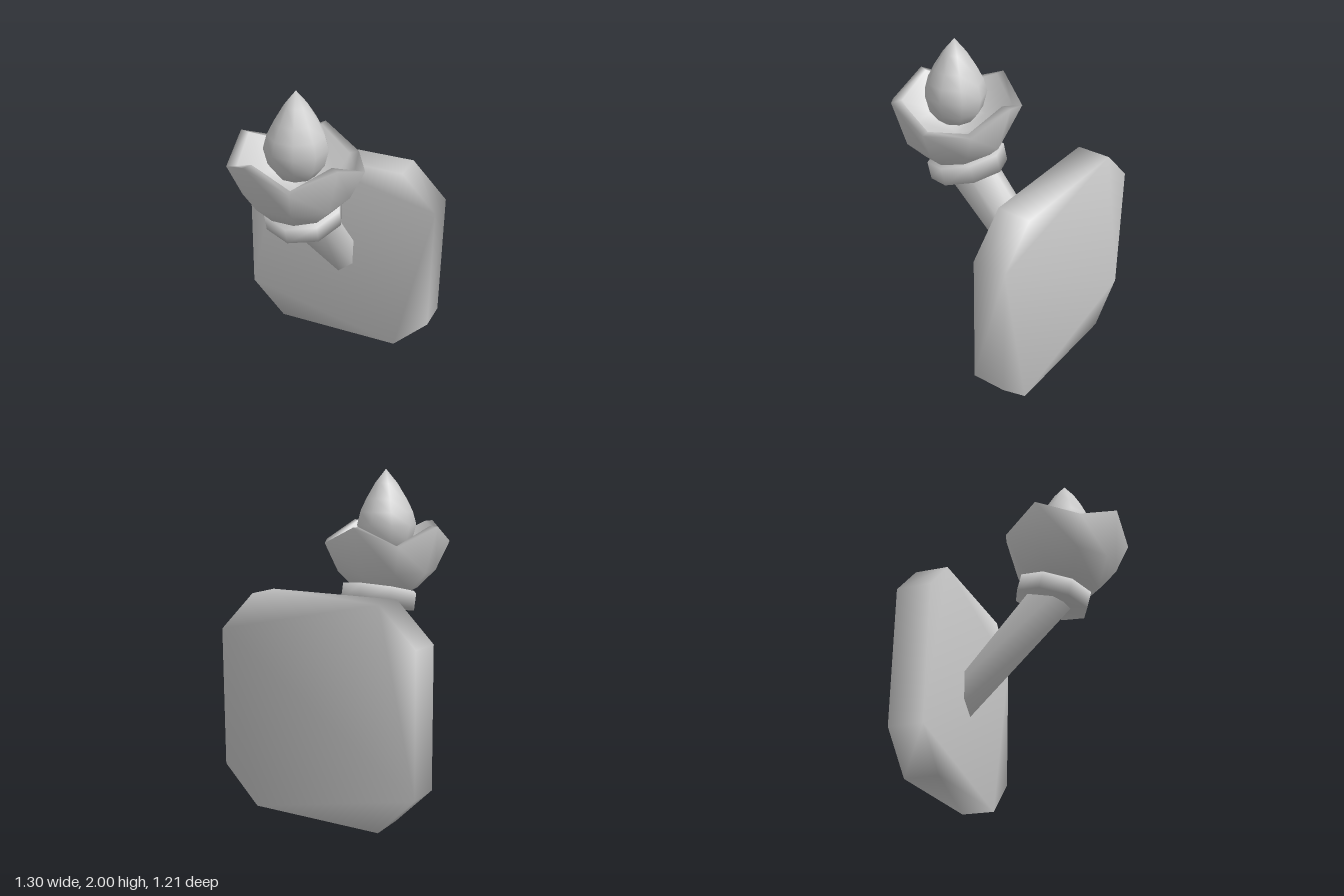
import * as THREE from 'three';
import { mergeVertices } from 'three/addons/utils/BufferGeometryUtils.js';

const material = new THREE.MeshStandardMaterial({ color: 0xcccccc });
const SIDES = 9;
const CUP_Z = 0.225;

// Weld shared corners so that shading runs smoothly over the low-poly edges
function smooth(geometry) {
  geometry.deleteAttribute('uv');
  geometry.deleteAttribute('normal');
  const welded = mergeVertices(geometry, 1e-4);
  welded.computeVertexNormals();
  return welded;
}

function part(name, geometry) {
  const mesh = new THREE.Mesh(smooth(geometry), material);
  mesh.name = name;
  return mesh;
}

// Nine-sided turned shape with one corner facing the wall
function turned(profile) {
  return new THREE.LatheGeometry(profile.map(([r, y]) => new THREE.Vector2(r, y)), SIDES).rotateY(Math.PI);
}

export function createModel() {
  const group = new THREE.Group();
  group.name = 'wallTorch';

  // Wall plate: square with cut corners
  const outline = [[0.42, 0], [0.65, 0.23], [0.65, 1.07], [0.42, 1.3],
    [-0.42, 1.3], [-0.65, 1.07], [-0.65, 0.23], [-0.42, 0]];
  const shape = new THREE.Shape(outline.map(([x, y]) => new THREE.Vector2(x, y)));
  const plate = new THREE.ExtrudeGeometry(shape, { depth: 0.21, bevelEnabled: false });
  group.add(part('wallPlate', plate.translate(0, 0, -0.605)));

  // Slanted six-sided handle, from inside the plate up to the collar
  const start = new THREE.Vector3(0, 0.54, -0.5);
  const end = new THREE.Vector3(0, 1.215, 0.14);
  const axis = end.clone().sub(start);
  const handle = part('handle', new THREE.CylinderGeometry(0.152, 0.115, axis.length(), 6));
  handle.position.copy(start).lerp(end, 0.5);
  handle.rotation.x = Math.atan2(axis.z, axis.y);
  group.add(handle);

  // Tilted collar
  const collar = part('collar', new THREE.CylinderGeometry(0.24, 0.24, 0.108, 8));
  collar.position.set(0, 1.213, 0.14);
  collar.rotation.x = THREE.MathUtils.degToRad(15);
  group.add(collar);

  // Cup: outside up to the rim, then down the inside
  const cupProfile = [[0, 1.2], [0.2, 1.26], [0.315, 1.375], [0.4, 1.555], [0.34, 1.555], [0.25, 1.42], [0, 1.38]];
  const cup = turned(cupProfile);
  const pos = cup.attributes.position;
  // Raise every second rim corner to a point
  for (let i = 0; i <= SIDES; i++) {
    const k = i % SIDES;
    if (k % 2 === 1 || k === 8) continue;
    for (const j of [3, 4]) pos.setY(i * cupProfile.length + j, 1.665);
  }
  group.add(part('cup', cup.translate(0, 0, CUP_Z)));

  // Flame
  const flame = turned([[0, 1.45], [0.11, 1.49], [0.165, 1.56], [0.19, 1.66], [0.168, 1.74],
    [0.128, 1.82], [0.07, 1.915], [0, 2]]);
  group.add(part('flame', flame.translate(0, 0, CUP_Z)));

  return group;
}
